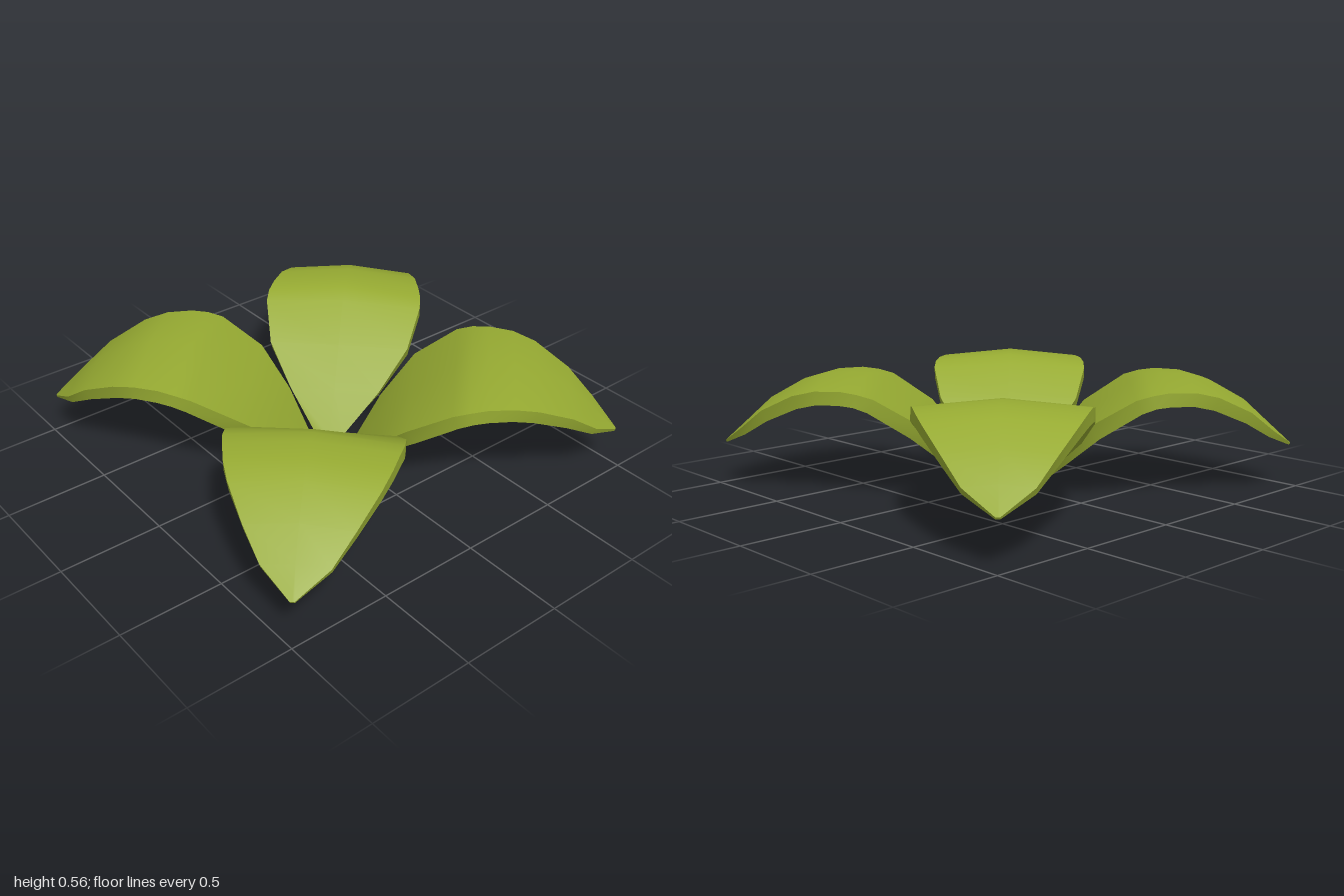
import * as THREE from 'three';
import { mergeGeometries } from 'three/addons/utils/BufferGeometryUtils.js';

// Leaf cross-sections from base to tip: [distance out, edge height, half width,
// underside offset out, underside offset up, sideways shift, midrib rise]
const SECTIONS = [
  [0.102, 0, 0.067, 0.033, 0, 0.016, 0],
  [0.233, 0.19, 0.225, 0.05, -0.04, 0.004, 0],
  [0.389, 0.36, 0.35, 0.045, -0.06, 0, 0.004],
  [0.594, 0.488, 0.398, 0.028, -0.062, 0, 0.024],
  [0.67, 0.51, 0.397, 0.018, -0.06, 0, 0.038],
  [0.75, 0.522, 0.383, 0.006, -0.065, 0, 0.034],
  [0.87, 0.518, 0.358, -0.008, -0.063, 0, 0.035],
  [0.98, 0.49, 0.32, -0.02, -0.06, 0, 0.033],
  [1.145, 0.405, 0.233, -0.026, -0.05, 0, 0.025],
  [1.266, 0.303, 0.146, -0.02, -0.03, 0, 0.015],
  [1.376, 0.217, 0.01, -0.006, -0.01, 0, 0],
];
const ROWS = SECTIONS.length - 1;
const COLS = 2;

// Smooth grid of quads from a point function
function patch(n, m, point) {
  const positions = [];
  const index = [];
  for (let i = 0; i <= n; i++) {
    for (let j = 0; j <= m; j++) {
      positions.push(...point(i, j));
      if (i < n && j < m) {
        const a = i * (m + 1) + j;
        const b = a + m + 1;
        index.push(a, b, b + 1, a, b + 1, a + 1);
      }
    }
  }
  const geometry = new THREE.BufferGeometry();
  geometry.setAttribute('position', new THREE.Float32BufferAttribute(positions, 3));
  geometry.setIndex(index);
  geometry.computeVertexNormals();
  return geometry;
}

// Closed leaf: skins, rims and end caps are separate so their edges stay sharp.
// side (1 or -1) is the way the stem end leans.
function leafGeometry(side) {
  const across = (j) => (2 * j) / COLS - 1;

  // Point on the leaf: row along it, u from -1 to 1 across, upper or lower skin
  const at = (row, u, lower) => {
    const [out, height, half, dOut, dUp, shift, rise] = SECTIONS[row];
    const middle = 1 - Math.abs(u);
    const tuck = row === 0 ? 0.012 * middle : 0; // rounded stem end
    return [
      u * half + side * shift,
      height + rise * middle + (lower ? dUp : 0),
      out + (lower ? dOut + tuck : -tuck),
    ];
  };

  return mergeGeometries([
    patch(ROWS, COLS, (i, j) => at(i, across(j), false)), // upper skin
    patch(ROWS, COLS, (i, j) => at(i, -across(j), true)), // lower skin
    patch(ROWS, 1, (i, j) => at(i, 1, j === 1)), // rims
    patch(ROWS, 1, (i, j) => at(i, -1, j === 0)),
    patch(COLS, 1, (i, j) => at(ROWS, across(i), j === 0)), // tip
    patch(COLS, 1, (i, j) => at(0, across(i), j === 1)), // base
  ]);
}

export function createModel() {
  const group = new THREE.Group();
  group.name = 'leafRosette';
  const material = new THREE.MeshStandardMaterial({ color: 0x96aa32 });
  const geometries = [leafGeometry(1), leafGeometry(-1)];
  const names = ['frontLeftLeaf', 'backLeftLeaf', 'backRightLeaf', 'frontRightLeaf'];

  // Four leaves along the diagonals, neighbours mirrored
  names.forEach((name, k) => {
    const leaf = new THREE.Mesh(geometries[k % 2], material);
    leaf.name = name;
    leaf.rotation.y = Math.PI / 4 + (k * Math.PI) / 2;
    group.add(leaf);
  });
  return group;
}
